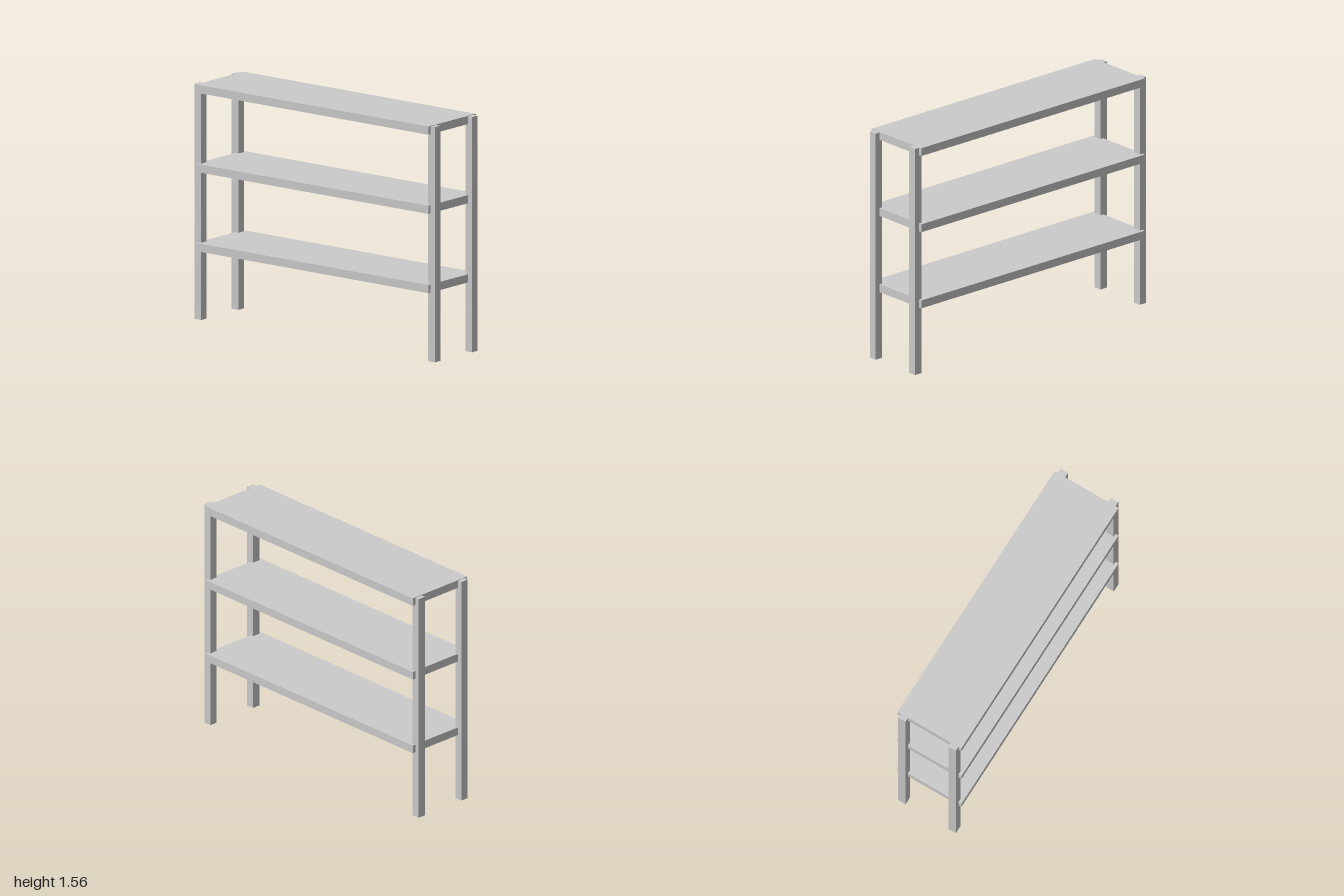
import * as THREE from 'three';

const material = new THREE.MeshStandardMaterial({ color: 0xcccccc, flatShading: true });

function box(name, w, h, d, x, y, z) {
  const mesh = new THREE.Mesh(new THREE.BoxGeometry(w, h, d), material);
  mesh.name = name;
  mesh.position.set(x, y, z);
  return mesh;
}

export function createModel() {
  const group = new THREE.Group();
  group.name = 'shelvingUnit';

  // Four square corner posts, just below the top shelf surface
  const post = 0.056, postHeight = 1.553;
  for (const [side, sx] of [['Left', 1], ['Right', -1]]) {
    for (const [end, sz] of [['front', 1], ['back', -1]]) {
      group.add(box(`${end}${side}Post`, post, postHeight, post,
        sx * 0.19, postHeight / 2, sz * (1 - post / 2)));
    }
  }

  // Three long shelves, notched into the posts
  const thickness = 0.054;
  const tops = { lowerShelf: 0.51, middleShelf: 1.033, topShelf: 1.556 };
  for (const [name, top] of Object.entries(tops)) {
    group.add(box(name, 0.482, thickness, 1.935, 0, top - thickness / 2, -0.002));
  }

  return group;
}
